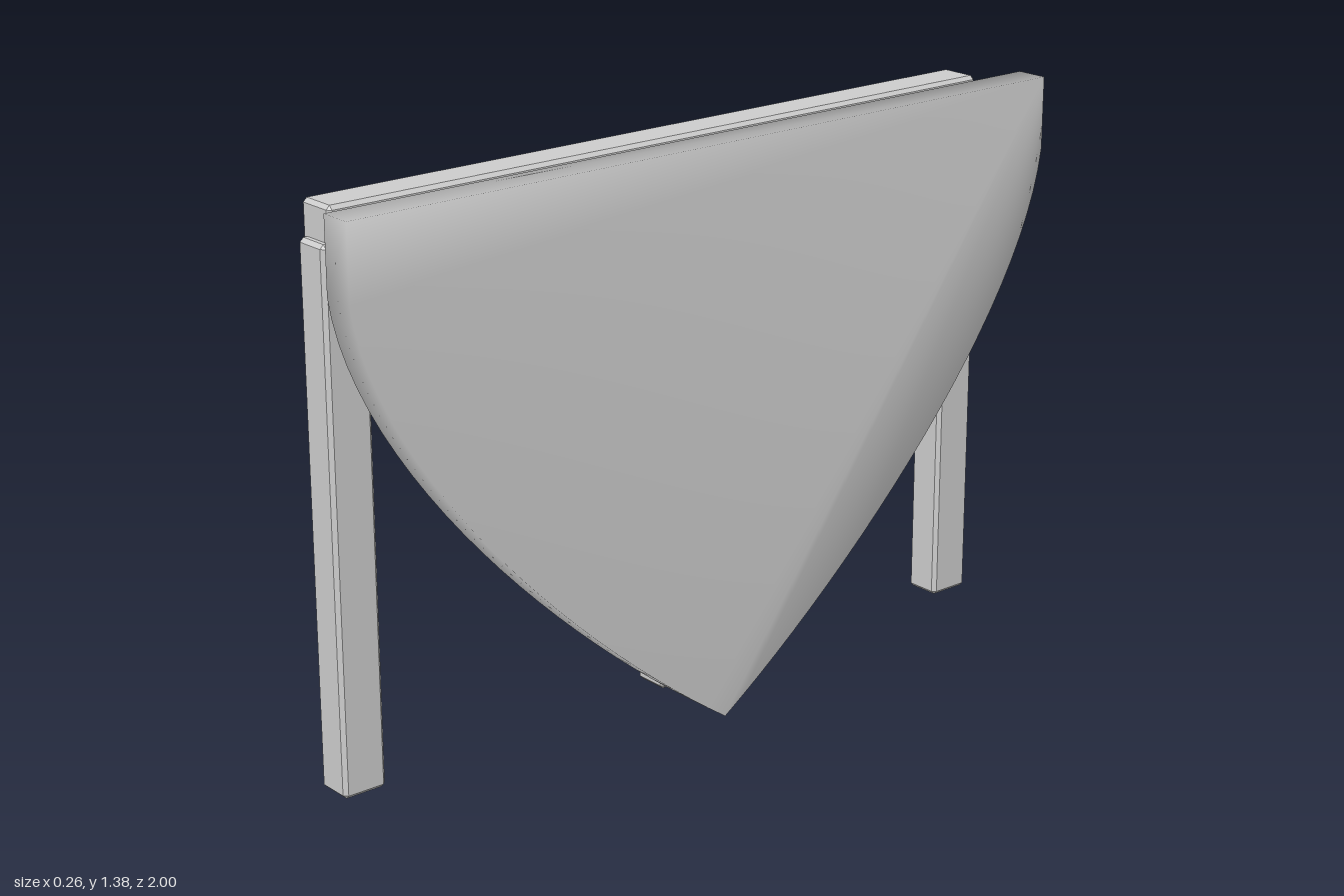
import * as THREE from 'three';
import { ConvexGeometry } from 'three/addons/geometries/ConvexGeometry.js';

// Box with chamfered edges, given by its min and max corners
function chamferBox(min, max, c = 0.009) {
  const mid = min.map((v, i) => (v + max[i]) / 2);
  const half = min.map((v, i) => (max[i] - v) / 2);
  const pts = [];
  for (const sx of [-1, 1]) for (const sy of [-1, 1]) for (const sz of [-1, 1]) {
    for (let full = 0; full < 3; full++) {
      const p = [sx, sy, sz].map((s, i) => mid[i] + s * (half[i] - (i === full ? 0 : c)));
      pts.push(new THREE.Vector3(...p));
    }
  }
  return new ConvexGeometry(pts);
}

// Half of the shield's outline, from the rim down to the tip, as (z, y)
function shieldOutline() {
  const curve = new THREE.CubicBezierCurve(
    new THREE.Vector2(1, 1.2), new THREE.Vector2(0.95, 0.8),
    new THREE.Vector2(0.4, 0.27), new THREE.Vector2(0, 0));
  const half = [new THREE.Vector2(1, 1.375), ...curve.getPoints(24)];
  const other = half.slice(0, -1).reverse().map(p => new THREE.Vector2(-p.x, p.y));
  return [...half, ...other];
}

// Flat slab whose faces and rim share smooth normals
function shieldGeometry(x0, x1) {
  const outline = shieldOutline();
  const n = outline.length;
  const pos = [];
  for (const x of [x1, x0]) for (const p of outline) pos.push(x, p.y, p.x);
  const index = [];
  const a = n - 1; // both faces fan out from the rear top corner
  for (let i = 0; i < n - 2; i++) {
    index.push(a, i + 1, i);
    index.push(n + a, n + i, n + i + 1);
  }
  for (let i = 0; i < n; i++) {
    const j = (i + 1) % n;
    index.push(i, j, n + j, i, n + j, n + i);
  }
  // Keep every face pointing outward
  const tri = k => new THREE.Vector3().fromArray(pos, index[k] * 3);
  const centre = new THREE.Vector3((x0 + x1) / 2, 0.85, 0);
  for (let k = 0; k < index.length; k += 3) {
    const p = tri(k), q = tri(k + 1), r = tri(k + 2);
    const normal = q.clone().sub(p).cross(r.clone().sub(p));
    if (normal.dot(p.clone().sub(centre)) < 0) {
      [index[k + 1], index[k + 2]] = [index[k + 2], index[k + 1]];
    }
  }
  const g = new THREE.BufferGeometry();
  g.setAttribute('position', new THREE.Float32BufferAttribute(pos, 3));
  g.setIndex(index);
  g.computeVertexNormals();
  return g;
}

export function createModel() {
  const group = new THREE.Group();
  const grey = new THREE.MeshStandardMaterial({ color: 0xcccccc });
  grey.name = 'light grey';

  const add = (name, geometry) => {
    const mesh = new THREE.Mesh(geometry, grey);
    mesh.name = name;
    group.add(mesh);
  };

  // Shield slab
  add('shield', shieldGeometry(0.05, 0.13));

  // Rack: top rail and three legs
  add('topRail', chamferBox([-0.135, 1.21, -0.955], [-0.033, 1.36, 0.955].map((v, i) => v)));
  const legs = { frontLeg: 0.898, middleLeg: 0, rearLeg: -0.898 };
  for (const [name, z] of Object.entries(legs)) {
    add(name, chamferBox([-0.125, 0.025, z - 0.055], [-0.033, 1.28, z + 0.055]));
  }
  // Rail ends sit just inside the outer faces of the legs
  group.getObjectByName('topRail').scale.z = 0.978;
  return group;
}
